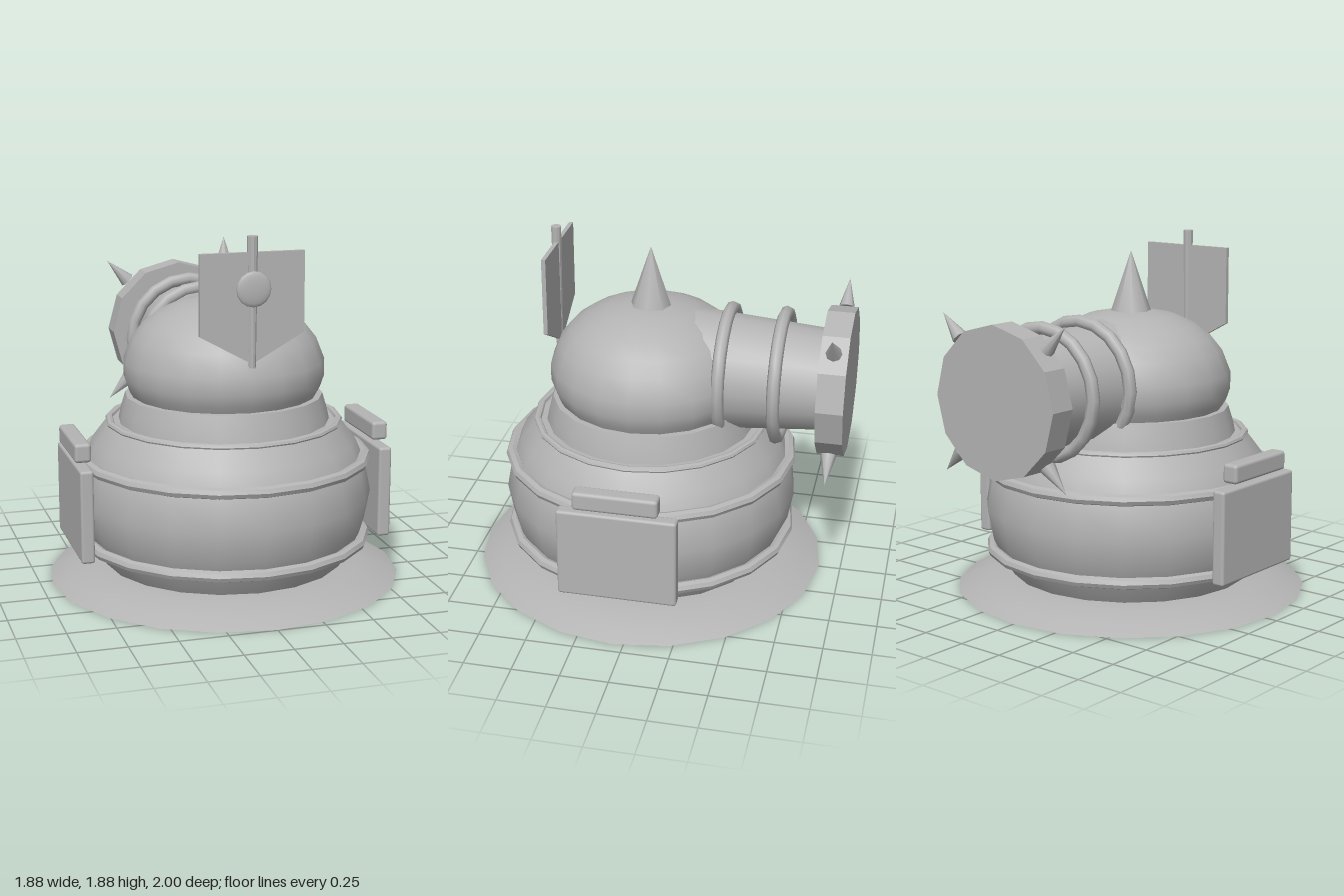
import * as THREE from 'three';
import { toCreasedNormals } from 'three/addons/utils/BufferGeometryUtils.js';
import { RoundedBoxGeometry } from 'three/addons/geometries/RoundedBoxGeometry.js';

const AXIS_Z = 0.057; // upright axis of the body
const PIPE_Y = 1.152; // height of the rear pipe axis

export function createModel() {
  const model = new THREE.Group();
  model.name = 'spikedHelmetVessel';
  const grey = new THREE.MeshStandardMaterial({ color: 0xb4b4b4 });

  const add = (name, geometry, x, y, z, crease = 0.6) => {
    const mesh = new THREE.Mesh(crease ? toCreasedNormals(geometry, crease) : geometry, grey);
    mesh.name = name;
    mesh.position.set(x, y, z);
    model.add(mesh);
    return mesh;
  };
  const turned = (name, profile) =>
    add(name, new THREE.LatheGeometry(profile.map(p => new THREE.Vector2(...p)), 20), 0, 0, AXIS_Z);
  const hoop = (name, y, radius, rx, ry) => {
    const profile = [];
    for (let i = 0; i <= 8; i++) {
      const a = i / 8 * Math.PI * 2;
      profile.push([radius + rx * Math.cos(a), y + ry * Math.sin(a)]);
    }
    return turned(name, profile);
  };

  // Foot, barrel body, collar and domed head
  turned('foot', [[0, 0], [0.94, 0], [0.85, 0.04], [0.74, 0.072], [0.64, 0.085], [0, 0.085]]);
  turned('body', [[0, 0.07], [0.635, 0.07], [0.7, 0.17], [0.755, 0.29], [0.785, 0.45],
    [0.755, 0.61], [0.7, 0.74], [0.62, 0.845], [0, 0.85]]);
  turned('collar', [[0, 0.84], [0.56, 0.84], [0.548, 0.9], [0.522, 0.985], [0, 0.99]]);
  turned('head', [[0, 0.96], [0.475, 0.96], [0.51, 1.02], [0.53, 1.08], [0.53, 1.17], [0.485, 1.285],
    [0.425, 1.36], [0.345, 1.42], [0.235, 1.47], [0.12, 1.492], [0, 1.497]]);

  // Hoops around the body
  hoop('lowerHoop', 0.22, 0.753, 0.032, 0.03);
  hoop('upperHoop', 0.65, 0.753, 0.032, 0.03);
  hoop('rimHoop', 0.845, 0.61, 0.02, 0.017);

  // Spike on the crown
  add('crownSpike', new THREE.ConeGeometry(0.11, 0.33, 8), 0, 1.645, AXIS_Z, 0.9);

  // Rear pipe, its rings and the end cap
  add('pipe', new THREE.CylinderGeometry(0.322, 0.265, 0.74, 20).rotateX(Math.PI / 2), 0, PIPE_Y, -0.51);
  for (const z of [-0.355, -0.64]) {
    add('pipeRing', new THREE.TorusGeometry(0.329, 0.034, 8, 20), 0, PIPE_Y, z, 0);
  }
  add('pipeCap', new THREE.CylinderGeometry(0.387, 0.387, 0.14, 12).rotateX(Math.PI / 2), 0, PIPE_Y, -0.93, 0.3);

  // Four diagonal spikes around the cap
  for (let i = 0; i < 4; i++) {
    const a = Math.PI / 4 + i * Math.PI / 2;
    const spike = add('capSpike', new THREE.ConeGeometry(0.042, 0.165, 8),
      0.488 * Math.cos(a), PIPE_Y + 0.488 * Math.sin(a), -0.93, 0.9);
    spike.rotation.z = a - Math.PI / 2;
  }

  // Side panels with a bar above each
  for (const side of [1, -1]) {
    add('sidePanel', new RoundedBoxGeometry(0.07, 0.49, 0.62, 2, 0.015), side * 0.806, 0.45, 0.057, 0);
    add('sideBar', new RoundedBoxGeometry(0.086, 0.1, 0.44, 2, 0.018), side * 0.806, 0.765, 0.06, 0);
  }

  // Front crest: pointed plate, rod and round boss
  const shield = new THREE.Shape();
  [[-0.27, 1.8], [-0.27, 1.39], [0, 1.24], [0.27, 1.39], [0.27, 1.8]].forEach(([x, y], i) =>
    i ? shield.lineTo(x, y) : shield.moveTo(x, y));
  add('crestPlate', new THREE.ExtrudeGeometry(shield, { depth: 0.022, bevelEnabled: false }), 0, 0, 0.54, 0.3);
  add('crestRod', new THREE.CylinderGeometry(0.027, 0.019, 0.66, 10), 0, 1.55, 0.556);
  add('crestBoss', new THREE.SphereGeometry(0.09, 16, 10).rotateX(Math.PI / 2).scale(1, 1, 0.2), 0, 1.62, 0.583, 0);

  return model;
}
